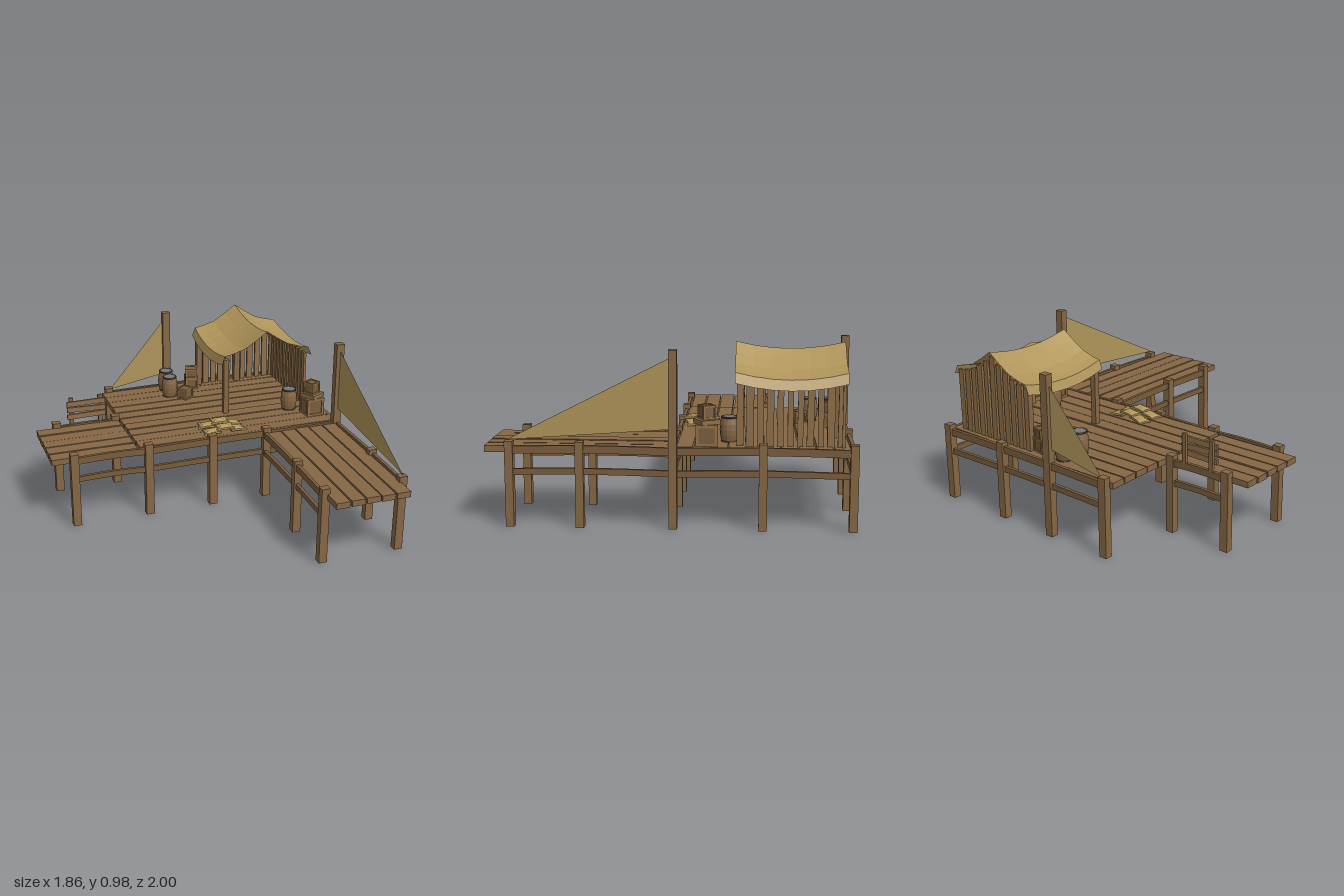
import * as THREE from 'three';

const mat = (color, side = THREE.FrontSide) =>
  new THREE.MeshStandardMaterial({ color, side, flatShading: true });
const wood = mat(0x866745), darkWood = mat(0x7a5d3d), paleWood = mat(0x8f7049);
const canvas = mat(0xb0955a, THREE.DoubleSide), sackCloth = mat(0xb0955a);
const iron = mat(0x3c3c3c), lid = mat(0x777777);

// Small seeded generator for hand-cut irregularity
let seed = 7;
const rand = () => ((seed = (seed * 16807) % 2147483647) / 2147483647);
const jit = (a) => (rand() * 2 - 1) * a;

export function createModel() {
  const root = new THREE.Group();
  const group = (name, parent = root) => {
    const g = new THREE.Group();
    g.name = name;
    parent.add(g);
    return g;
  };
  const add = (parent, name, geo, material, x = 0, y = 0, z = 0) => {
    const m = new THREE.Mesh(geo, material);
    m.name = name;
    m.position.set(x, y, z);
    parent.add(m);
    return m;
  };
  const box = (parent, name, w, h, d, x, y, z, material = wood) =>
    add(parent, name, new THREE.BoxGeometry(w, h, d), material, x, y, z);

  // Decks: rows of planks, slightly tapered
  const deck = (name, x0, x1, z0, z1, count, alongX, top) => {
    const g = group(name);
    const a = alongX ? z0 : x0, pitch = ((alongX ? z1 - z0 : x1 - x0) + 0.01) / count;
    const len = alongX ? x1 - x0 : z1 - z0;
    for (let i = 0; i < count; i++) {
      const geo = new THREE.BoxGeometry(len, 0.036, pitch - 0.008);
      const p = geo.attributes.position, t0 = 1 + jit(0.04), t1 = 1 + jit(0.04);
      for (let k = 0; k < p.count; k++) p.setZ(k, p.getZ(k) * (p.getX(k) > 0 ? t0 : t1));
      if (!alongX) geo.rotateY(Math.PI / 2);
      const c = a + pitch * (i + 0.5) - 0.005, y = top - 0.018 + jit(0.003);
      add(g, 'plank', geo, wood, alongX ? (x0 + x1) / 2 : c, y, alongX ? c : (z0 + z1) / 2);
    }
  };
  deck('mainDeck', -0.39, 0.895, -0.96, -0.04, 10, true, 0.443);
  deck('sideDeck', -0.93, -0.403, -0.495, -0.04, 5, true, 0.437);
  deck('pierDeck', 0.43, 0.885, 0, 1, 5, false, 0.438);

  // Support posts, two of them tall masts
  const posts = group('posts');
  [
    [-0.34, -0.98], [0.07, -0.98, 0.96], [0.45, -0.98], [0.9, -0.98],
    [-0.8, -0.02], [-0.34, -0.02], [0.07, -0.02], [0.425, -0.02], [0.9, -0.02, 0.965],
    [-0.8, -0.51], [-0.42, -0.51], [0.9, -0.5],
    [0.9, 0.48], [0.9, 0.86], [0.42, 0.48], [0.42, 0.86],
  ].forEach(([x, z, h = 0.47]) =>
    box(posts, h > 0.5 ? 'mast' : 'post', 0.05, h, 0.045, x, h / 2, z));

  // Rails: bowed beams at two heights between posts
  const rails = group('rails');
  const rail = (x0, z0, x1, z1) => {
    const len = Math.hypot(x1 - x0, z1 - z0);
    [[0.304, 0.034], [0.424, 0.042]].forEach(([y, h]) => {
      const geo = new THREE.BoxGeometry(len, h, 0.02, 8, 1, 1), p = geo.attributes.position;
      for (let k = 0; k < p.count; k++)
        p.setY(k, p.getY(k) + 0.007 * Math.cos((p.getX(k) / len) * Math.PI) - 0.003);
      const m = add(rails, 'rail', geo, darkWood, (x0 + x1) / 2, y, (z0 + z1) / 2);
      m.rotation.y = -Math.atan2(z1 - z0, x1 - x0);
    });
  };
  rail(-0.34, -0.98, 0.9, -0.98);
  rail(-0.8, -0.02, -0.34, -0.02);
  rail(-0.34, -0.02, 0.9, -0.02);
  rail(-0.8, -0.51, -0.42, -0.51);
  rail(0.905, -0.98, 0.905, -0.02);
  rail(0.905, -0.02, 0.905, 0.86);
  rail(0.415, -0.02, 0.415, 0.86);

  // Triangular sails
  const sail = (name, pts) => {
    const geo = new THREE.BufferGeometry();
    geo.setAttribute('position', new THREE.Float32BufferAttribute(pts.flat(), 3));
    geo.computeVertexNormals();
    add(root, name, geo, canvas);
  };
  sail('backSail', [[0.05, 0.9, -0.98], [0.05, 0.525, -0.98], [-0.33, 0.455, -0.98]]);
  sail('pierSail', [[0.9, 0.925, -0.01], [0.9, 0.54, -0.01], [0.9, 0.475, 0.87]]);

  // Slatted backrest on the edge of the side deck
  const rest = group('backrest');
  for (const x of [-0.7, -0.515]) box(rest, 'upright', 0.025, 0.18, 0.018, x, 0.532, -0.515);
  [0.503, 0.545, 0.587].forEach((y, i) => {
    box(rest, 'slat', 0.245, 0.032, 0.014, -0.607, y, -0.5, paleWood).rotation.z = [0.02, -0.025, 0.015][i];
  });

  // Hut roof: draped cloth, sagging between its ends
  const hut = group('hut');
  const profile = [[-0.305, 0.785], [-0.285, 0.84], [-0.23, 0.85], [-0.15, 0.875], [-0.07, 0.925], [0, 0.975],
    [0.07, 0.925], [0.15, 0.875], [0.23, 0.85], [0.285, 0.84], [0.31, 0.785]];
  const roof = new THREE.PlaneGeometry(1, 1, profile.length - 1, 6);
  const rp = roof.attributes.position;
  for (let k = 0; k < rp.count; k++) {
    const [x, y] = profile[k % profile.length];
    const t = Math.floor(k / profile.length) / 6, sag = 4 * t * (1 - t);
    rp.setXYZ(k, 0.553 + x * (1 + 0.03 * sag), y - 0.038 * sag, -0.945 + 0.6 * t);
  }
  roof.computeVertexNormals();
  add(hut, 'roofCloth', roof, canvas);

  // Hut walls: loose slats at the back and right
  const roofAt = (x) => {
    const i = Math.max(1, profile.findIndex((q) => q[0] >= x - 0.553));
    const [a, b] = [profile[i - 1], profile[i]];
    return a[1] + ((b[1] - a[1]) * (x - 0.553 - a[0])) / (b[0] - a[0]);
  };
  for (let i = 0; i < 11; i++) {
    const x = 0.282 + i * 0.054, h = roofAt(x) - 0.03 - 0.43;
    const s = box(hut, 'backSlat', 0.036 + jit(0.006), h, 0.016, x, 0.43 + h / 2, -0.925, paleWood);
    s.rotation.z = jit(0.015);
    const z = -0.375 - i * 0.0535;
    const r = box(hut, 'sideSlat', 0.016, 0.37, 0.036 + jit(0.006), 0.825, 0.61, z, paleWood);
    r.rotation.x = jit(0.015);
  }
  box(hut, 'ridgePost', 0.04, 0.5, 0.03, 0.553, 0.68, -0.9);
  box(hut, 'frontPost', 0.035, 0.38, 0.035, 0.282, 0.62, -0.375);
  box(hut, 'backPost', 0.035, 0.38, 0.035, 0.282, 0.62, -0.915);

  // Barrels with iron rims
  for (const [x, z] of [[0.04, -0.89], [0.03, -0.775], [0.7, -0.315]]) {
    const g = group('barrel');
    g.position.set(x, 0.44, z);
    const side = [[0, 0], [0.042, 0], [0.051, 0.04], [0.053, 0.068], [0.051, 0.1], [0.043, 0.137], [0, 0.137]];
    add(g, 'staves', new THREE.LatheGeometry(side.map((q) => new THREE.Vector2(...q)), 14), wood);
    for (const y of [0.004, 0.137])
      add(g, 'rim', new THREE.TorusGeometry(0.042, 0.005, 6, 14).rotateX(Math.PI / 2), iron, 0, y);
    add(g, 'lid', new THREE.CylinderGeometry(0.039, 0.039, 0.004, 14), lid, 0, 0.138);
  }

  // Crates: a core framed by corner battens
  const crate = (s, x, y, z, turn) => {
    const g = group('crate');
    g.position.set(x, y + s / 2, z);
    g.rotation.y = turn;
    const b = s * 0.14, o = s / 2 - b / 2;
    box(g, 'core', s * 0.9, s * 0.9, s * 0.9, 0, 0, 0, darkWood);
    for (const i of [-o, o]) for (const j of [-o, o]) {
      box(g, 'batten', b, s, b, i, 0, j, paleWood);
      box(g, 'batten', s, b, b, 0, i, j, paleWood);
      box(g, 'batten', b, b, s, i, j, 0, paleWood);
    }
  };
  crate(0.118, 0.81, 0.442, -0.195, 0.06);
  crate(0.075, 0.805, 0.585, -0.195, 0.5);
  box(root, 'crateBoard', 0.11, 0.025, 0.11, 0.81, 0.572, -0.195, paleWood).rotation.y = 0.5;
  crate(0.075, 0.115, 0.442, -0.705, 0.6);
  crate(0.085, 0.215, 0.442, -0.875, -0.2);
  crate(0.08, 0.215, 0.505, -0.875, -0.3);

  // Pile of pinched sacks
  const sacks = group('sacks');
  for (const z of [-0.185, -0.09]) for (let i = 0; i < 3; i++) {
    const geo = new THREE.BoxGeometry(0.11, 0.035, 0.08, 4, 2, 4), p = geo.attributes.position;
    for (let k = 0; k < p.count; k++) {
      const u = p.getX(k) / 0.055, w = p.getZ(k) / 0.04;
      p.setY(k, p.getY(k) * (1 - 0.65 * Math.max(u * u, w * w)));
      p.setX(k, p.getX(k) * (0.85 + 0.15 * w * w));
      p.setZ(k, p.getZ(k) * (0.82 + 0.18 * u * u));
    }
    const m = add(sacks, 'sack', geo, sackCloth, 0.09 + i * 0.08, i === 1 ? 0.482 : 0.46, z + jit(0.006));
    m.rotation.set(0, jit(0.25), [0.12, 0.05, -0.12][i]);
  }
  return root;
}
